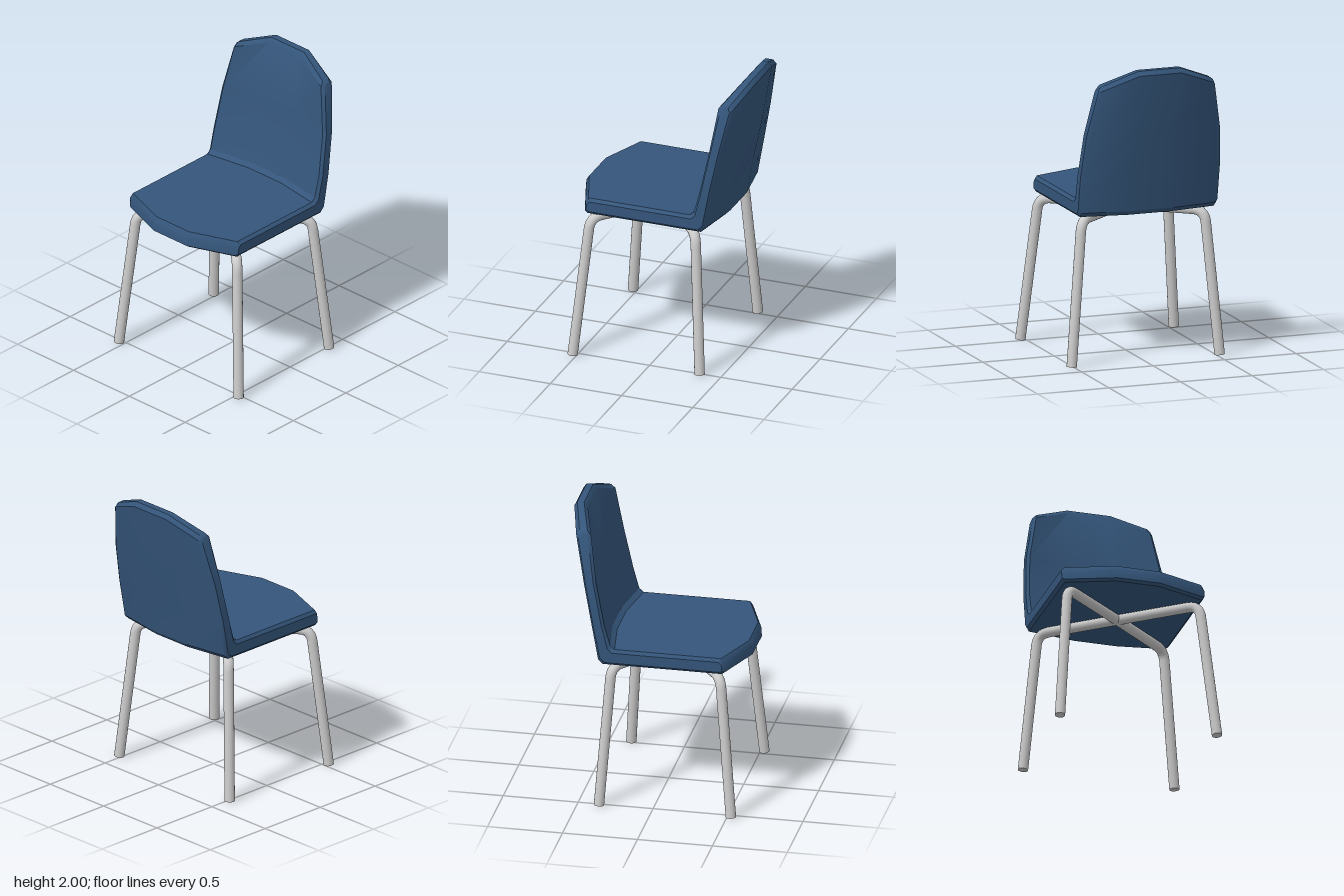
import * as THREE from 'three';
import { toCreasedNormals } from 'three/addons/utils/BufferGeometryUtils.js';

const CX = -0.0175; // the shell's mid plane
const MID = 0.147; // half width of its flat middle strip

// Profile from front edge to top edge: z, y at the middle, then shift in z, y at the sides, half width
const UPPER = [
  [0.59, 1.08, -0.12, 0, 0.487], [0.57, 1.11, -0.12, 0, 0.487],
  [-0.31, 1.11, 0.05, 0, 0.487], [-0.34, 1.135, 0.05, 0, 0.487],
  [-0.38, 1.28, 0.05, 0, 0.487], [-0.442, 1.56, 0.055, 0, 0.466],
  [-0.505, 1.97, 0.072, -0.095, 0.408], [-0.53, 2.0, 0.07, -0.095, 0.398],
];
const LOWER = [
  [0.595, 1.015, -0.12, 0, 0.487], [0.575, 1.0, -0.12, 0, 0.487],
  [-0.39, 1.0, 0.05, 0, 0.487], [-0.42, 1.03, 0.05, 0, 0.487],
  [-0.465, 1.28, 0.05, 0, 0.487], [-0.525, 1.56, 0.055, 0, 0.466],
  [-0.595, 1.97, 0.062, -0.095, 0.408], [-0.575, 2.0, 0.062, -0.095, 0.398],
];
const N = UPPER.length;

// One closed cross-section; 'mid', 'side' (full profile) or 'cap' (slightly shrunk outer face)
function section(kind, sign) {
  const place = (p) => {
    const side = kind === 'mid' ? 0 : 1;
    const x = kind === 'mid' ? MID : p[4] - (kind === 'side' ? 0.02 : 0);
    return new THREE.Vector3(CX + sign * x, p[1] + side * p[3], p[0] + side * p[2]);
  };
  const up = UPPER.map(place), low = LOWER.map(place);
  if (kind === 'cap') {
    for (let i = 0; i < N; i++) {
      const a = up[i].clone(), b = low[i].clone();
      up[i].lerp(b, 0.18);
      low[i].lerp(a, 0.18);
      if (i < 2) [up[i], low[i]].forEach((v) => { v.z -= 0.015; });
      if (i > N - 3) [up[i], low[i]].forEach((v) => { v.y -= 0.015; });
    }
  }
  return [...up, ...low.reverse()];
}

function shellGeometry() {
  const sections = [
    section('cap', -1), section('side', -1), section('mid', -1),
    section('mid', 1), section('side', 1), section('cap', 1),
  ];
  const pos = [];
  const quad = (a, b, c, d) => [a, b, c, a, c, d].forEach((v) => pos.push(v.x, v.y, v.z));
  const M = 2 * N;
  for (let s = 0; s < sections.length - 1; s++) {
    const p = sections[s], q = sections[s + 1];
    for (let k = 0; k < M; k++) {
      const n = (k + 1) % M;
      quad(p[k], q[k], q[n], p[n]);
    }
  }
  // side faces
  const l = sections[0], r = sections[sections.length - 1];
  for (let k = 0; k < N - 1; k++) {
    const b = M - 1 - k;
    quad(r[k], r[b], r[b - 1], r[k + 1]);
    quad(l[k], l[k + 1], l[b - 1], l[b]);
  }
  const g = new THREE.BufferGeometry();
  g.setAttribute('position', new THREE.Float32BufferAttribute(pos, 3));
  return toCreasedNormals(g, 0.6);
}

// A leg: bar from the hub under the seat, a bend, then a splayed leg down to the floor
function leg(name, shoulder, foot, material) {
  const R = 0.034;
  const hub = new THREE.Vector3(-0.008, 0.965, 0.07);
  const bend = new THREE.Vector3(shoulder[0], 0.965, shoulder[1]);
  const end = new THREE.Vector3(foot[0], 0.005, foot[1]);
  const toward = (v) => v.clone().sub(bend).setLength(0.08).add(bend);
  const a = toward(hub), b = toward(end);
  const path = new THREE.CurvePath();
  path.add(new THREE.LineCurve3(hub, a));
  path.add(new THREE.QuadraticBezierCurve3(a, bend, b));
  path.add(new THREE.LineCurve3(b, end));

  const group = new THREE.Group();
  group.name = name;
  const tube = new THREE.Mesh(new THREE.TubeGeometry(path, 64, R, 16), material);
  tube.name = name + 'Tube';
  const cap = new THREE.Mesh(new THREE.CircleGeometry(R, 16), material);
  cap.name = name + 'FootCap';
  cap.position.copy(end);
  cap.quaternion.setFromUnitVectors(new THREE.Vector3(0, 0, 1), end.clone().sub(b).normalize());
  group.add(tube, cap);
  return group;
}

export function createModel() {
  const model = new THREE.Group();
  model.name = 'chair';
  const blue = new THREE.MeshStandardMaterial({ color: 0x34557a });
  const grey = new THREE.MeshStandardMaterial({ color: 0xcccccc });

  const shell = new THREE.Mesh(shellGeometry(), blue);
  shell.name = 'seatAndBackrest';
  model.add(shell);

  model.add(
    leg('frontLeftLeg', [0.44, 0.44], [0.535, 0.527], grey),
    leg('frontRightLeg', [-0.46, 0.44], [-0.538, 0.527], grey),
    leg('backLeftLeg', [0.42, -0.29], [0.515, -0.357], grey),
    leg('backRightLeg', [-0.44, -0.29], [-0.52, -0.357], grey),
  );
  return model;
}
